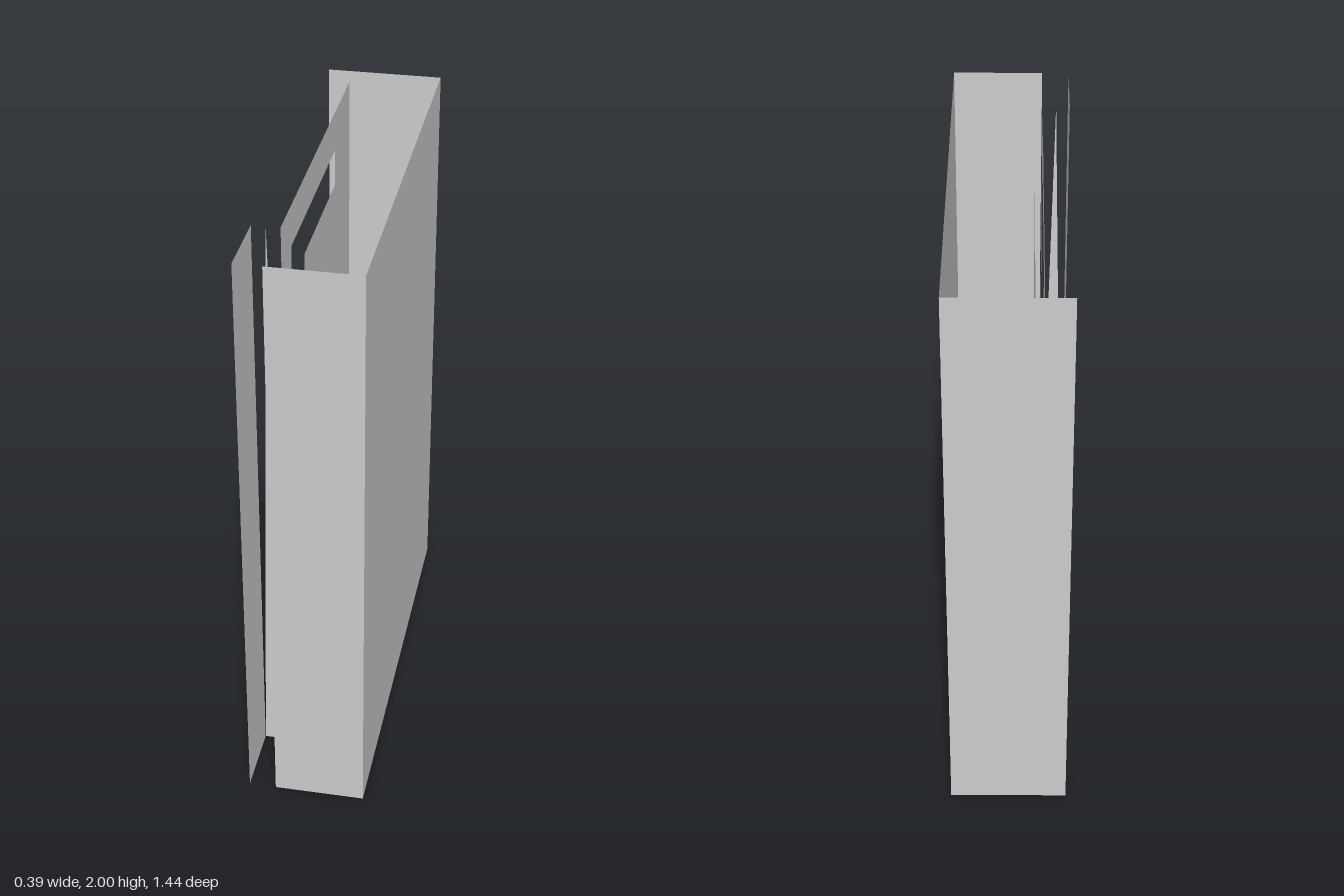
import * as THREE from 'three';

const material = new THREE.MeshStandardMaterial({
  color: 0xcccccc, side: THREE.DoubleSide, flatShading: true,
});

const rect = (a0, a1, y0, y1) => [[a0, y0], [a1, y0], [a1, y1], [a0, y1]];
const toPoints = (list) => list.map(([a, y]) => new THREE.Vector2(a, y));

export function createModel() {
  const group = new THREE.Group();

  // Flat sheet from an outline, with an optional opening
  function sheet(name, outline, hole) {
    const shape = new THREE.Shape(toPoints(outline));
    if (hole) shape.holes.push(new THREE.Path(toPoints(hole)));
    const mesh = new THREE.Mesh(new THREE.ShapeGeometry(shape), material);
    mesh.name = name;
    group.add(mesh);
    return mesh;
  }

  // Sheet across x at depth z, outline in (x, y)
  function crossSheet(name, z, outline, facesBack) {
    const mesh = sheet(name, outline);
    mesh.geometry.translate(0, 0, z);
    if (facesBack) flip(mesh.geometry);
  }

  // Sheet along z at position x, outline in (z, y), facing -x
  function sideSheet(name, x, outline, hole, facesRight) {
    const mesh = sheet(name, outline, hole);
    mesh.geometry.rotateY(-Math.PI / 2).translate(x, 0, 0);
    if (facesRight) flip(mesh.geometry);
  }

  // Reverse the facing of a sheet
  function flip(geometry) {
    geometry.index.array.reverse();
    const normal = geometry.attributes.normal;
    for (let i = 0; i < normal.array.length; i++) normal.array[i] *= -1;
  }

  const OUT = 0.195, IN = -0.105, D = 0.72, H = 2;

  // Outer shell: plain wall and its two returns
  sideSheet('mainWall', OUT, rect(-D, D, 0, H), null, true);
  crossSheet('frontReturn', D, rect(IN, OUT, 0, H));
  crossSheet('backReturn', -D, rect(-OUT, OUT, 0, H), true);

  // Recessed wall with a window opening
  sideSheet('recessedWall', IN, rect(-0.625, 0.475, 0, H), rect(-0.367, 0.333, 0.576, 1.865));

  // Projecting strip and the tapered web joining it to the recessed wall
  sideSheet('projectingStrip', -OUT, rect(0.475, D, 0, H));
  crossSheet('taperedWeb', 0.475, [[-OUT, 0], [IN, 0], [-0.15, H]], true);

  // Inset window pane and the small triangle on it
  sideSheet('windowPane', -0.08, rect(-0.32, 0.26, 0.62, 1.803));
  sideSheet('paneTriangle', -0.088, [[-0.285, 0.716], [0.015, 0.62], [0.015, 0.835]]);

  return group;
}
